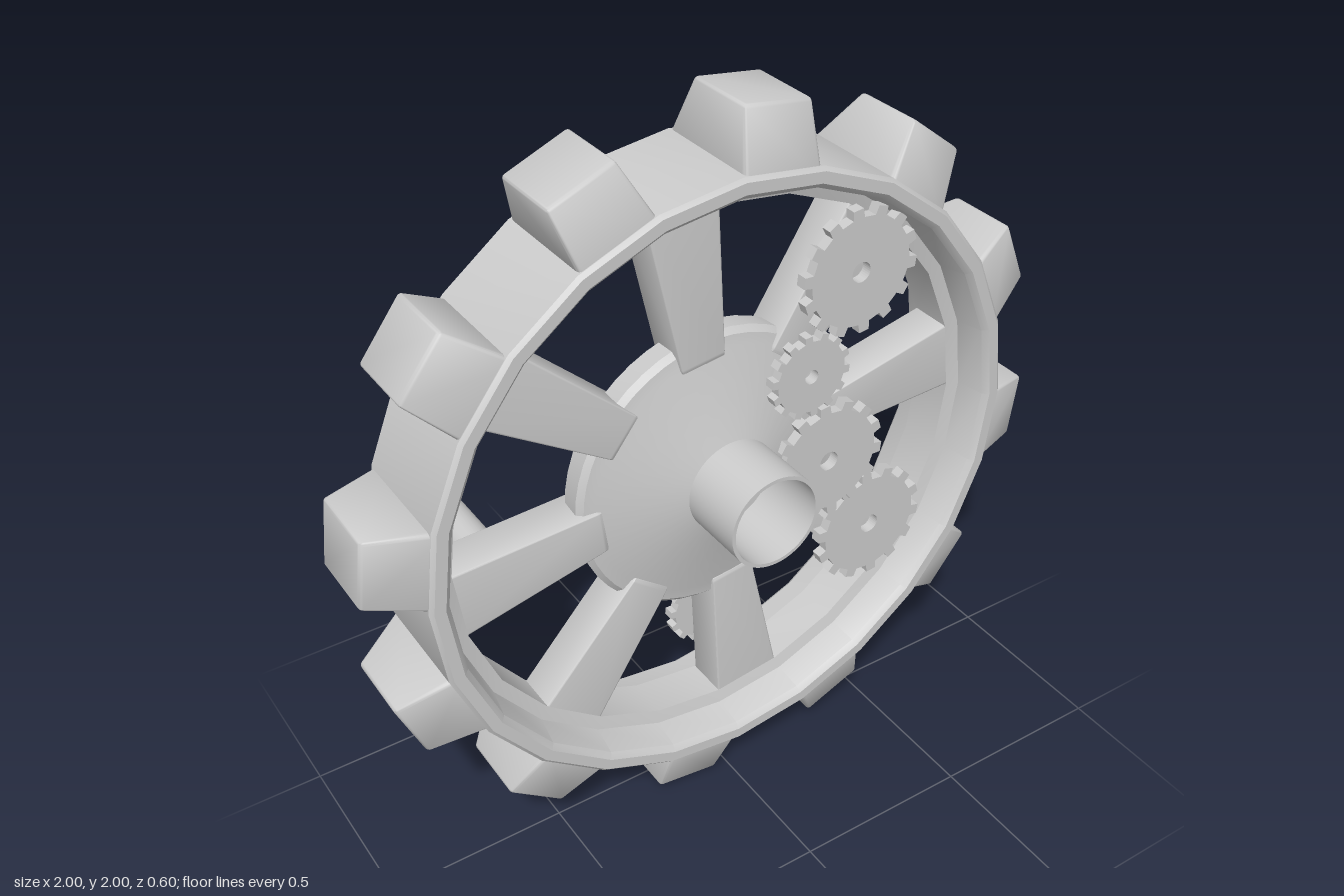
import * as THREE from 'three';
import { toCreasedNormals } from 'three/addons/utils/BufferGeometryUtils.js';
import { RoundedBoxGeometry } from 'three/addons/geometries/RoundedBoxGeometry.js';

const grey = new THREE.MeshStandardMaterial({ color: 0xcccccc });
const greyDouble = new THREE.MeshStandardMaterial({ color: 0xcccccc, side: THREE.DoubleSide });
const deg = Math.PI / 180;

function add(parent, name, geometry, material = grey) {
  const mesh = new THREE.Mesh(geometry, material);
  mesh.name = name;
  parent.add(mesh);
  return mesh;
}

// Profile of [radius, z] pairs spun around the z axis
function spin(profile, segments) {
  const points = profile.map(([r, z]) => new THREE.Vector2(r, z));
  return toCreasedNormals(new THREE.LatheGeometry(points, segments).rotateX(Math.PI / 2), 0.6);
}

// Rounded radial block along +x whose width and z range change from inner to outer end
function taperedBlock(inner, outer, round) {
  const g = new RoundedBoxGeometry(1, 1, 1, 2, round);
  const p = g.attributes.position;
  const mix = THREE.MathUtils.lerp;
  for (let i = 0; i < p.count; i++) {
    const t = p.getX(i) + 0.5;
    const half = mix(inner.half, outer.half, t);
    const back = mix(inner.z[0], outer.z[0], t);
    const front = mix(inner.z[1], outer.z[1], t);
    p.setXYZ(i, mix(inner.r, outer.r, t), p.getY(i) * 2 * half, mix(back, front, p.getZ(i) + 0.5));
  }
  return toCreasedNormals(g, 0.7);
}

// Flat toothed gear with a centre hole
function gearGeometry(radius, teeth, hole, thickness = 0.03) {
  const shape = new THREE.Shape();
  const root = radius * 0.86;
  const steps = [[0, root], [0.5, root], [0.56, radius], [0.94, radius]];
  for (let i = 0; i < teeth; i++) {
    for (const [f, r] of steps) {
      const a = ((i + f) / teeth) * Math.PI * 2;
      const x = Math.cos(a) * r, y = Math.sin(a) * r;
      if (i === 0 && f === 0) shape.moveTo(x, y);
      else shape.lineTo(x, y);
    }
  }
  shape.closePath();
  shape.holes.push(new THREE.Path().absarc(0, 0, hole, 0, Math.PI * 2, true));
  return new THREE.ExtrudeGeometry(shape, { depth: thickness, bevelEnabled: false, curveSegments: 16 })
    .translate(0, 0, -thickness / 2);
}

export function createModel() {
  const model = new THREE.Group();
  model.name = 'cogWheel';
  const wheel = new THREE.Group();
  wheel.name = 'wheel';
  wheel.position.y = 1;
  model.add(wheel);

  // 24-sided rim with an inner flange that carries the spokes
  add(wheel, 'rim', spin([
    [0.755, -0.07], [0.79, -0.08], [0.805, -0.165], [0.82, -0.18], [0.85, -0.18], [0.86, -0.17],
    [0.86, 0.145], [0.85, 0.155], [0.82, 0.155], [0.805, 0.14], [0.79, 0.06], [0.755, 0.05], [0.755, -0.07],
  ], 24));

  // Twelve outer teeth
  const tooth = taperedBlock(
    { r: 0.82, half: 0.11, z: [-0.18, 0.155] }, { r: 0.997, half: 0.093, z: [-0.115, 0.09] }, 0.05);
  for (let i = 0; i < 12; i++) add(wheel, 'rimTooth', tooth).rotation.z = (i * 30 - 7.5) * deg;

  // Eight spokes, wider at the rim
  const spoke = taperedBlock(
    { r: 0.34, half: 0.062, z: [-0.07, 0.05] }, { r: 0.78, half: 0.1, z: [-0.07, 0.05] }, 0.03);
  for (let i = 0; i < 8; i++) add(wheel, 'spoke', spoke).rotation.z = (i * 45 + 7.5) * deg;

  // Hub with a front cone, an axle tube and recessed ends
  add(wheel, 'hub', spin([
    [0, -0.05], [0.12, -0.05], [0.12, -0.135], [0.13, -0.135], [0.13, -0.09], [0.33, -0.09], [0.36, -0.075],
    [0.375, -0.05], [0.4, -0.04], [0.405, 0.02], [0.39, 0.035], [0.36, 0.04], [0.13, 0.11], [0.13, 0.3],
    [0.12, 0.3], [0.12, 0.1], [0, 0.1],
  ], 48));

  // Crank peg on the back
  const peg = new THREE.CylinderGeometry(0.055, 0.055, 0.3, 24, 1, true).rotateX(Math.PI / 2);
  add(wheel, 'crankPeg', peg, greyDouble).position.set(-0.62, -0.08, -0.15);

  // Small gear trains: x, y, z, radius, teeth, hole radius
  const gears = [
    ['frontGear', 0.375, 1.495, 0.1, 0.175, 14, 0.028],
    ['frontGear', 0.235, 1.24, 0.1, 0.12, 14, 0.02],
    ['frontGear', 0.3, 0.96, 0.105, 0.175, 14, 0.028],
    ['frontGear', 0.465, 0.675, 0.09, 0.175, 14, 0.028],
    ['backGear', 0.465, 0.675, -0.13, 0.175, 14, 0.028],
    ['backGear', 0.135, 0.685, -0.13, 0.175, 14, 0.028],
    ['backGear', 0.07, 0.41, -0.13, 0.12, 14, 0.02],
  ];
  for (const [name, x, y, z, radius, teeth, hole] of gears) {
    add(model, name, gearGeometry(radius, teeth, hole)).position.set(x, y, z);
  }
  return model;
}
